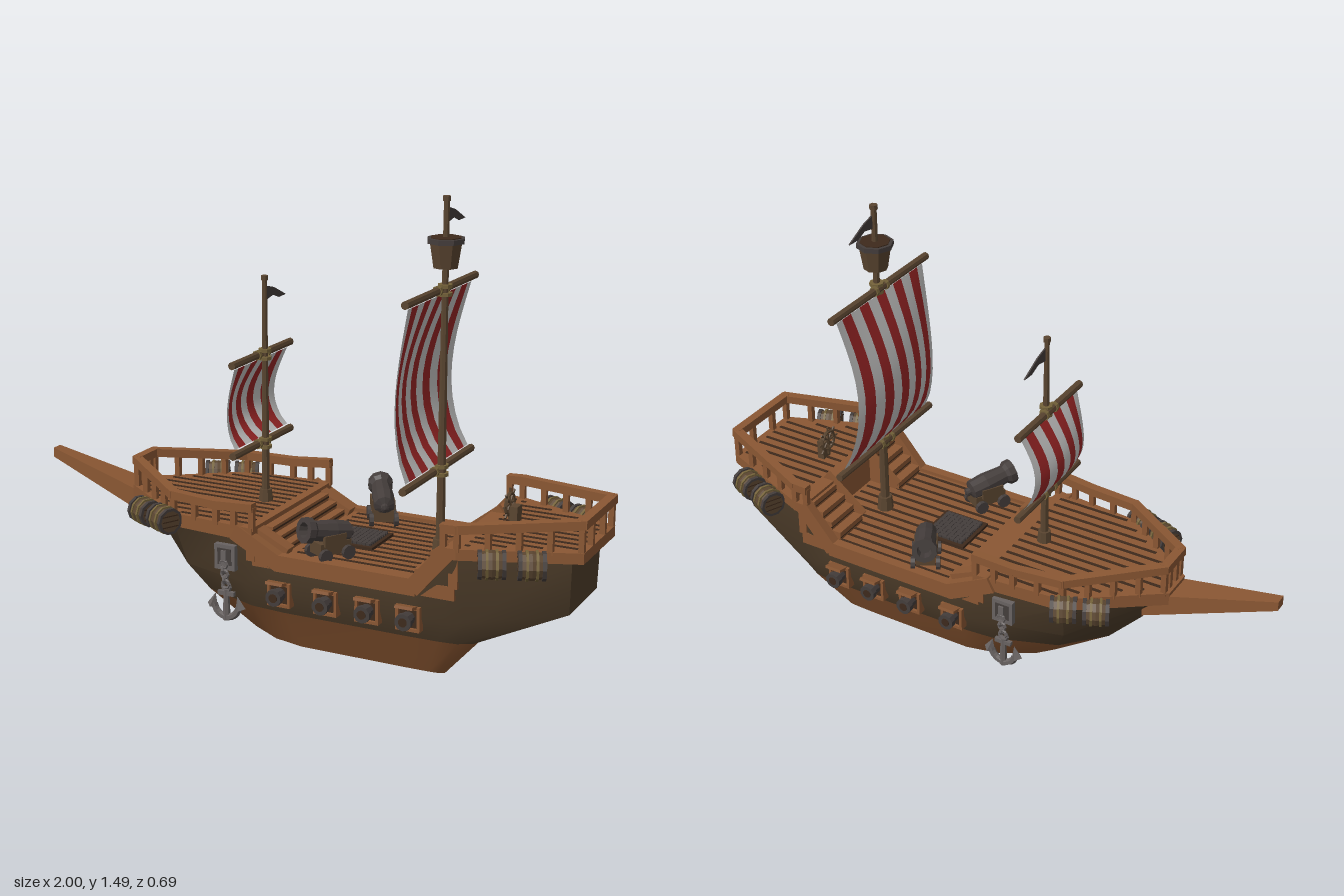
import * as THREE from 'three';
import { toCreasedNormals } from 'three/addons/utils/BufferGeometryUtils.js';

const mat = (name, color, flatShading = true, side = THREE.FrontSide) =>
  new THREE.MeshStandardMaterial({ name, color, side, flatShading });
const M = {
  wood: mat('warm wood', 0x8a5733), hull: mat('dark hull wood', 0x4e3d2a, false),
  keel: mat('lower hull wood', 0x8a5631, false), mast: mat('mast wood', 0x5a4530),
  gap: mat('plank gap', 0x3e2a1c), iron: mat('black iron', 0x443d3b),
  steel: mat('grey steel', 0x686261), rope: mat('rope', 0x75633a),
  red: mat('sail red', 0x982525, false, THREE.DoubleSide), white: mat('sail white', 0xc4c3c2, false, THREE.DoubleSide),
};
const V = (x, y, z) => new THREE.Vector3(x, y, z);

function add(parent, name, geo, material, x = 0, y = 0, z = 0) {
  const m = new THREE.Mesh(geo, material);
  m.name = name;
  m.position.set(x, y, z);
  parent.add(m);
  return m;
}
const box = (p, name, m, w, h, d, x, y, z) => add(p, name, new THREE.BoxGeometry(w, h, d), m, x, y, z);
const cyl = (p, name, m, r1, r2, h, x, y, z, n = 8) => add(p, name, new THREE.CylinderGeometry(r1, r2, h, n), m, x, y, z);
function group(parent, name, x = 0, y = 0, z = 0) {
  const g = new THREE.Group();
  g.name = name;
  g.position.set(x, y, z);
  parent.add(g);
  return g;
}
// Square timber between two points
function beam(p, name, m, a, b, w, h) {
  const o = add(p, name, new THREE.BoxGeometry(w, h, a.distanceTo(b) + w * 0.5), m);
  o.position.copy(a).lerp(b, 0.5);
  o.lookAt(b);
  return o;
}
// Horizontal slab from half an outline of [x, z]
function slab(p, name, m, half, y0, y1) {
  const pts = [...half, ...half.map(([x, z]) => [x, -z]).reverse()];
  const shape = new THREE.Shape(pts.map(([x, z]) => new THREE.Vector2(x, z)));
  const geo = new THREE.ExtrudeGeometry(shape, { depth: y1 - y0, bevelEnabled: false });
  return add(p, name, geo.rotateX(-Math.PI / 2), m, 0, y0, 0);
}
// Skin over closed rings, listed from bottom to top
function skin(rings, capBottom) {
  const pos = [], n = rings[0].length;
  const tri = (...v) => v.forEach(q => pos.push(...q));
  for (let k = 0; k < rings.length - 1; k++) for (let i = 0; i < n; i++) {
    const j = (i + 1) % n, [a, b, c, d] = [rings[k][i], rings[k][j], rings[k + 1][j], rings[k + 1][i]];
    tri(a, b, c);
    tri(a, c, d);
  }
  if (capBottom) for (let i = 1; i < n - 1; i++) tri(rings[0][0], rings[0][i + 1], rings[0][i]);
  const g = new THREE.BufferGeometry();
  g.setAttribute('position', new THREE.Float32BufferAttribute(pos, 3));
  return toCreasedNormals(g, 0.6);
}

function buildHull(p) {
  // Each level runs bow to stern as [x, y, half width]
  const levels = [
    [[-.22, 0, .005], [-.17, 0, .06], [-.06, 0, .125], [.05, 0, .15], [.42, 0, .15], [.5, 0, .148], [.53, 0, .145], [.55, 0, .135]],
    [[-.42, .14, .01], [-.3, .14, .14], [-.1, .14, .215], [.02, .14, .225], [.45, .14, .225], [.56, .14, .222], [.62, .14, .215], [.665, .14, .19]],
    [[-.54, .27, .015], [-.35, .24, .2], [-.1, .23, .255], [.02, .22, .262], [.5, .22, .262], [.6, .22, .255], [.66, .225, .24], [.95, .265, .13]],
    [[-.62, .385, .045], [-.37, .385, .245], [-.1, .385, .27], [.02, .305, .27], [.5, .305, .27], [.6, .445, .275], [.63, .445, .275], [.955, .445, .135]],
  ];
  const r = levels.map(l => [...l, ...l.map(([x, y, z]) => [x, y, -z]).reverse()]);
  add(p, 'lowerHull', skin(r.slice(0, 2), true), M.keel);
  add(p, 'upperHull', skin(r.slice(1), false), M.hull);

  // Tapered bowsprit
  const g = new THREE.BoxGeometry(1, 1, 1), a = g.attributes.position;
  for (let i = 0; i < a.count; i++) {
    const tip = a.getX(i) < 0, top = a.getY(i) > 0;
    a.setXYZ(i, tip ? -1 : -.56, tip ? (top ? .505 : .472) : (top ? .395 : .315), Math.sign(a.getZ(i)) * (tip ? .02 : .065));
  }
  g.computeVertexNormals();
  add(p, 'bowsprit', g, M.wood);
}

function buildDecks(p) {
  slab(p, 'foreDeck', M.wood, [[-.65, .055], [-.37, .258], [-.06, .285]], .385, .43);
  slab(p, 'mainDeck', M.wood, [[-.07, .268], [.63, .268]], .3, .345);
  slab(p, 'sternDeck', M.wood, [[.6, .288], [.64, .288], [.995, .148]], .44, .475);
  box(p, 'foreBulkhead', M.wood, .03, .1, .54, -.075, .365, 0);
  box(p, 'sternBulkhead', M.wood, .03, .12, .54, .625, .4, 0);
  // Dark seams between planks
  for (let i = -6; i <= 6; i++) {
    const z = i * .04, w = Math.abs(z);
    const seam = (x0, x1, y) => box(p, 'plankSeam', M.gap, x1 - x0, .003, .01, (x0 + x1) / 2, y, z);
    seam(-.62 + .28 * Math.max(0, w - .045) / .2, -.09, .431);
    seam(.06, w > .1 ? .5 : .6, .346);
    seam(.65, .97 - .355 * Math.max(0, w - .12) / .14, .476);
  }
  // Side trim following the sheer
  for (const s of [1, -1]) {
    const z = s * .273, path = [[-.12, .408], [.03, .33], [.5, .33], [.61, .46]];
    for (let i = 0; i < 3; i++) beam(p, 'sheerTrim', M.wood, V(...path[i], z), V(...path[i + 1], z), .032, .055);
    // Stern stairs
    for (let i = 0; i < 4; i++) {
      const h = .03 * (i + 1);
      box(p, 'sternStep', M.wood, .036, h, .13, .505 + i * .034, .345 + h / 2, s * .18);
      box(p, 'stepShadow', M.gap, .004, .004, .13, .488 + i * .034, .345 + h - .02, s * .18);
    }
    beam(p, 'stairStringer', M.wood, V(.49, .375, s * .108), V(.63, .485, s * .108), .016, .03);
    beam(p, 'foreStringer', M.wood, V(-.06, .405, s * .225), V(.035, .36, s * .225), .045, .025);
  }
  // Steps to the fore deck
  for (let i = 0; i < 3; i++) {
    const h = .07 - i * .024, x = -.045 + i * .03;
    box(p, 'foreStep', M.wood, .032, h, .4, x, .345 + h / 2, 0);
    box(p, 'stepShadow', M.gap, .004, .006, .4, x + .015, .345 + h - .012, 0);
  }
  // Hatch with grating
  box(p, 'hatchFrame', M.gap, .165, .012, .165, .185, .349, 0);
  for (let i = -4; i <= 4; i++) {
    box(p, 'hatchBar', M.iron, .011, .012, .14, .185 + i * .0155, .357, 0);
    box(p, 'hatchBar', M.iron, .14, .01, .011, .185, .357, i * .0155);
  }
}

function railing(p, name, path, deckY, across) {
  const g = group(p, name);
  for (const s of [1, -1]) for (let i = 0; i < path.length - 1; i++) {
    const [a, b] = [path[i], path[i + 1]].map(([x, y, z]) => V(x, y, z * s));
    beam(g, 'railTop', M.wood, a, b, .03, .028);
    const n = Math.max(1, Math.round(a.distanceTo(b) / .085));
    for (let k = 0; k <= n; k++) {
      const q = a.clone().lerp(b, k / n), h = q.y - deckY;
      box(g, 'railPost', M.wood, .018, h, .018, q.x, deckY + h / 2, q.z);
    }
  }
  const [x, y, z] = across;
  beam(g, 'railEnd', M.wood, V(x, y, -z), V(x, y, z), .03, .028);
  for (const k of [-.4, .4]) box(g, 'railPost', M.wood, .018, y - deckY, .018, x, (y + deckY) / 2, k * z);
}

function buildMast(p, name, x, y0, y1, r, yards, yardHalf, stripes, bulge) {
  const g = group(p, name, x, 0, 0), [lo, hi] = yards;
  cyl(g, 'mastPole', M.mast, r * .6, r, y1 - y0, 0, (y0 + y1) / 2, 0);
  cyl(g, 'mastFoot', M.mast, r * 1.5, r * 1.8, .05, 0, y0 + .025, 0);
  cyl(g, 'mastCap', M.mast, r * .85, r * .85, .015, 0, y1 - .0075, 0);
  for (const y of yards) {
    cyl(g, 'yard', M.mast, .013, .013, yardHalf * 2, -.012, y, 0).rotation.x = Math.PI / 2;
    for (const d of [-.013, .013]) cyl(g, 'ropeLashing', M.rope, r + .008, r + .008, .011, 0, y + d, 0);
    for (const d of [-.03, .03]) cyl(g, 'yardLashing', M.rope, .017, .017, .012, -.012, y, d).rotation.x = Math.PI / 2;
  }
  // Striped sail, bellied toward the bow, with narrower outer stripes
  const half = yardHalf * .9, h = hi - lo - .035, total = stripes - .7;
  const edge = i => i === 0 ? -1 : i === stripes ? 1 : 2 * (i - .35) / total - 1;
  for (let i = 0; i < stripes; i++) {
    const geo = new THREE.PlaneGeometry(1, 1, 1, 10), a = geo.attributes.position;
    for (let k = 0; k < a.count; k++) {
      const u = a.getX(k) < 0 ? edge(i) : edge(i + 1), v = a.getY(k) + .5;
      const belly = Math.sin(Math.PI * Math.pow(v, .8));
      a.setXYZ(k, -.014 - bulge * belly * (1 - .42 * u * u), lo + .018 + v * h, u * half * (1 - .11 * Math.sin(Math.PI * v)));
    }
    geo.computeVertexNormals();
    add(g, 'sailStripe', geo, i % 2 ? M.red : M.white);
  }
  // Forked pennant
  const f = new THREE.Shape([[0, .025], [.05, .012], [.13, -.025], [.085, -.027], [.045, -.012], [0, -.02]].map(q => new THREE.Vector2(...q)));
  const flag = add(g, 'pennant', new THREE.ExtrudeGeometry(f, { depth: .005, bevelEnabled: false }), M.iron, 0, y1 - .06, -r * .5);
  flag.rotation.y = Math.PI / 2;
  return g;
}

function buildBarrel(p, x, y, z, yaw) {
  const g = group(p, 'barrel', x, y, z);
  g.rotation.set(0, yaw, Math.PI / 2, 'YXZ');
  const prof = [[0, -.04], [.038, -.04], [.045, 0], [.038, .04], [0, .04]].map(q => new THREE.Vector2(...q));
  add(g, 'barrelStaves', new THREE.LatheGeometry(prof, 10), M.mast);
  // Open hoops leave the barrel heads showing
  const hoop = [[.036, -.006], [.045, -.006], [.045, .006], [.036, .006]].map(q => new THREE.Vector2(...q));
  for (const d of [-.036, .036]) {
    add(g, 'barrelHoop', new THREE.LatheGeometry(hoop, 10), M.iron, 0, d, 0);
    for (const k of [-.018, 0, .018]) box(g, 'headSeam', M.gap, .004, .002, .06, k, d * 1.11, 0);
  }
  for (const d of [-.015, .015]) cyl(g, 'barrelRope', M.rope, .047, .047, .008, 0, d, 0, 10);
}

function buildDeckCannon(p, s) {
  const g = group(p, 'deckCannon', .17, .345, s * .205);
  g.rotation.y = Math.atan2(-.5, .86 * s);
  g.scale.setScalar(1.15);
  box(g, 'carriage', M.mast, .055, .035, .1, 0, .035, -.01);
  for (const a of [-1, 1]) {
    box(g, 'carriageCheek', M.mast, .012, .03, .07, a * .028, .06, -.005);
    for (const b of [-.045, .03]) cyl(g, 'wheel', M.iron, .02, .02, .012, a * .036, .02, b, 10).rotation.z = Math.PI / 2;
  }
  const prof = [[0, -.09], [.012, -.086], [.012, -.074], [.03, -.068], [.033, -.02], [.028, .045], [.037, .055], [.037, .075], [.022, .075], [.018, .05], [0, .05]];
  add(g, 'cannonBarrel', new THREE.LatheGeometry(prof.map(q => new THREE.Vector2(...q)), 10), M.iron, 0, .08, .005).rotation.x = Math.PI / 2 - .2;
}

function buildGunPort(p, x, s) {
  const g = group(p, 'gunPort', x, .22, s * .262);
  box(g, 'portBack', M.gap, .064, .064, .01, 0, 0, 0);
  for (const d of [-.036, .036]) {
    box(g, 'portFrameSide', M.wood, .01, .082, .03, d, 0, 0);
    box(g, 'portFrameBar', M.wood, .082, .01, .03, 0, d, 0);
  }
  box(g, 'portLid', M.wood, .06, .01, .045, 0, .042, s * .025).rotation.x = s * -.25;
  cyl(g, 'portCannon', M.iron, .022, .022, .06, 0, 0, s * .02, 10).rotation.x = Math.PI / 2;
  cyl(g, 'portMuzzle', M.iron, .028, .028, .018, 0, 0, s * .042, 10).rotation.x = Math.PI / 2;
  cyl(g, 'portBore', M.gap, .015, .015, .004, 0, 0, s * .0505, 10).rotation.x = Math.PI / 2;
}

function buildAnchor(p, s) {
  const g = group(p, 'anchor', -.165, 0, s * .268);
  box(g, 'anchorPlate', M.steel, .075, .085, .02, 0, .315, 0);
  box(g, 'anchorRecess', M.iron, .05, .055, .005, 0, .318, s * .01);
  box(g, 'anchorHook', M.steel, .018, .05, .014, 0, .315, s * .012);
  for (let i = 0; i < 5; i++)
    add(g, 'chainLink', new THREE.TorusGeometry(.013, .005, 5, 8), M.steel, 0, .294 - i * .018, s * .016 * (1 - i / 5)).rotation.y = (i % 2) * Math.PI / 2;
  add(g, 'anchorRing', new THREE.TorusGeometry(.015, .006, 5, 8), M.steel, 0, .212, 0);
  cyl(g, 'anchorShank', M.steel, .009, .013, .105, 0, .151, 0, 6);
  box(g, 'anchorStock', M.steel, .06, .014, .014, 0, .19, 0);
  add(g, 'anchorArms', new THREE.TorusGeometry(.045, .012, 6, 10, Math.PI), M.steel, 0, .153, 0).rotation.z = Math.PI;
  for (const a of [-1, 1]) add(g, 'anchorFluke', new THREE.ConeGeometry(.02, .045, 4), M.steel, a * .046, .163, 0).rotation.z = a * .25;
}

export function createModel() {
  const ship = new THREE.Group();
  ship.name = 'sailingShip';
  buildHull(ship);
  buildDecks(ship);
  railing(ship, 'foreRail', [[-.63, .52, .055], [-.37, .492, .25], [-.2, .488, .268], [-.065, .498, .275]], .42, [-.63, .52, .055]);
  railing(ship, 'sternRail', [[.595, .535, .278], [.64, .537, .278], [.985, .563, .14]], .465, [.985, .563, .14]);

  buildMast(ship, 'foreMast', -.163, .42, 1.19, .014, [.63, .93], .2, 9, .068);
  const main = buildMast(ship, 'mainMast', .468, .345, 1.49, .016, [.623, 1.2], .275, 11, .088);
  // Crow's nest
  cyl(main, 'nestTub', M.mast, .054, .04, .085, 0, 1.312, 0, 8);
  cyl(main, 'nestRim', M.iron, .061, .061, .016, 0, 1.354, 0, 8);
  cyl(main, 'nestFloor', M.gap, .05, .05, .004, 0, 1.363, 0, 8);

  for (const s of [1, -1]) {
    buildBarrel(ship, -.485, .413, s * .24, -s * .45);
    buildBarrel(ship, -.39, .413, s * .28, -s * .45);
    buildBarrel(ship, .755, .445, s * .285, s * .42);
    buildBarrel(ship, .865, .445, s * .24, s * .42);
    buildDeckCannon(ship, s);
    buildAnchor(ship, s);
    for (const x of [.03, .195, .34, .48]) buildGunPort(ship, x, s);
  }

  // Steering wheel
  const helm = group(ship, 'helm', .7, .545, 0);
  box(helm, 'helmPost', M.mast, .025, .075, .04, .02, -.04, 0);
  add(helm, 'helmRim', new THREE.TorusGeometry(.035, .006, 5, 12), M.mast).rotation.y = Math.PI / 2;
  for (let i = 0; i < 4; i++) cyl(helm, 'helmSpoke', M.mast, .004, .004, .105, 0, 0, 0, 5).rotation.x = i * Math.PI / 4;
  return ship;
}
